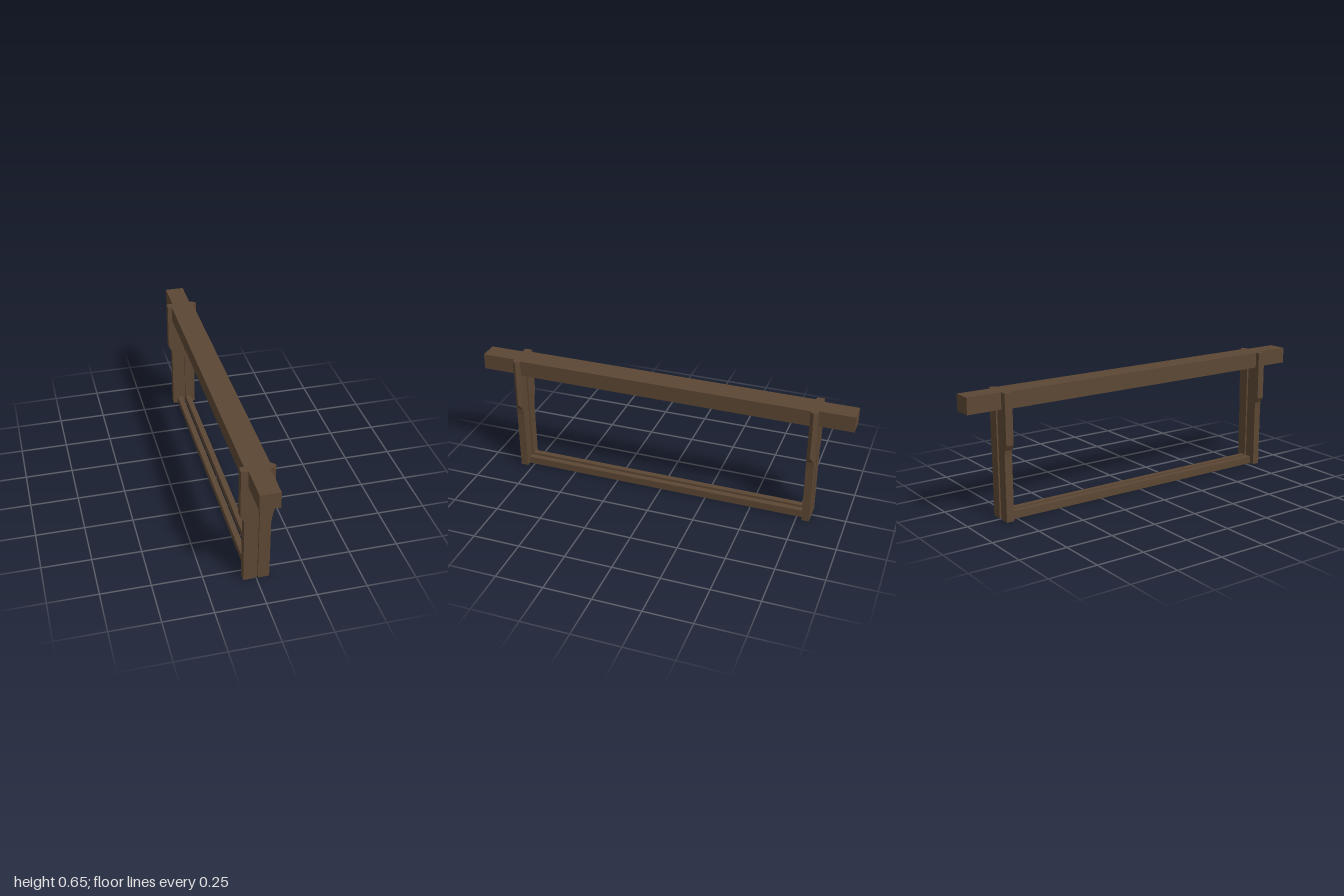
import * as THREE from 'three';

const wood = new THREE.MeshStandardMaterial({ color: 0x5c4633 });
wood.name = 'dark wood';

function add(parent, name, geometry, x = 0, y = 0, z = 0) {
  const mesh = new THREE.Mesh(geometry, wood);
  mesh.name = name;
  mesh.position.set(x, y, z);
  parent.add(mesh);
  return mesh;
}

// Flat board cut from an outline in x and y, centred on z
function board(points, thickness) {
  const shape = new THREE.Shape(points.map(([x, y]) => new THREE.Vector2(x, y)));
  const g = new THREE.ExtrudeGeometry(shape, { depth: thickness, bevelEnabled: false });
  return g.translate(0, 0, -thickness / 2);
}

const TOP = 0.65, SEAT = 0.566, THICK = 0.04, GROOVE = 0.008;

// Upright end bar: two cheeks, a thin web in the groove and a pointed edge on +x
function endBar(name, z) {
  const bar = new THREE.Group();
  bar.name = name;
  bar.position.z = z;

  add(bar, 'leftCheek', board([
    [GROOVE, 0], [0.065, 0], [0.065, 0.33], [0.068, 0.362],
    [0.068, TOP], [0.05, TOP], [0.05, SEAT], [GROOVE, SEAT],
  ], THICK));

  add(bar, 'rightCheek', board([
    [-GROOVE, 0], [-GROOVE, SEAT], [-0.05, SEAT], [-0.05, TOP], [-0.085, TOP],
    [-0.085, 0.392], [-0.068, 0.364], [-0.066, 0.348], [-0.065, 0.33], [-0.065, 0],
  ], THICK));

  add(bar, 'grooveWeb', new THREE.BoxGeometry(GROOVE * 2, SEAT, 0.02), 0, SEAT / 2, 0);

  // Pointed edge, its lower tip raised to make the slanted foot
  const low = 0.362;
  const edge = board([[0.068, -THICK / 2], [0.085, 0], [0.068, THICK / 2]], TOP - low);
  edge.rotateX(-Math.PI / 2).translate(0, (TOP + low) / 2, 0);
  const p = edge.attributes.position;
  for (let i = 0; i < p.count; i++) {
    if (p.getX(i) > 0.08 && p.getY(i) < 0.5) p.setY(i, 0.392);
  }
  edge.computeVertexNormals();
  add(bar, 'pointedEdge', edge);
  return bar;
}

export function createModel() {
  const frame = new THREE.Group();
  frame.name = 'hiveFrame';

  // Top bar, wider between the end bars, with narrow lugs at both ends
  const h = TOP - SEAT, y = (TOP + SEAT) / 2;
  add(frame, 'topBar', new THREE.BoxGeometry(0.124, h, 1.56), 0, y, 0);
  for (const s of [1, -1]) {
    add(frame, s > 0 ? 'frontLug' : 'backLug', new THREE.BoxGeometry(0.1, h, 0.22), 0, y, s * 0.89);
    frame.add(endBar(s > 0 ? 'frontEndBar' : 'backEndBar', s * 0.8));
    // Pair of bottom rails with a slot between them
    add(frame, s > 0 ? 'leftBottomRail' : 'rightBottomRail',
      new THREE.BoxGeometry(0.03, 0.04, 1.56), s * 0.024, 0.02, 0);
  }
  return frame;
}
